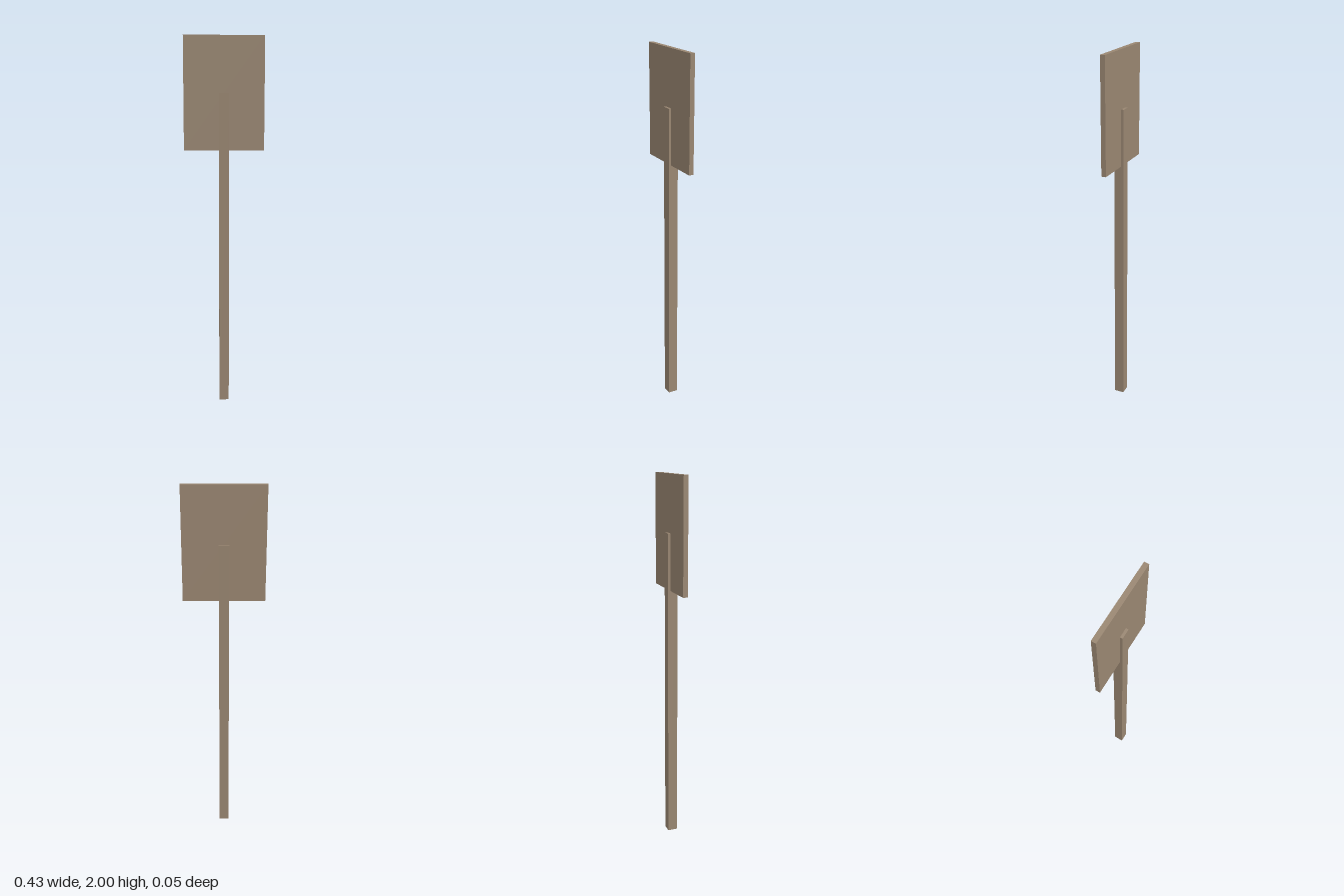
import * as THREE from 'three';

export function createModel() {
  const model = new THREE.Group();
  model.name = 'signpost';

  const wood = new THREE.MeshStandardMaterial({ color: 0x9a8772 });
  wood.name = 'weatheredWood';

  // Upright box standing between two heights, centred on the axis
  function board(name, width, depth, bottom, top) {
    const mesh = new THREE.Mesh(new THREE.BoxGeometry(width, top - bottom, depth), wood);
    mesh.name = name;
    mesh.position.y = (bottom + top) / 2;
    model.add(mesh);
  }

  // Square post, running up through the middle of the panel
  board('post', 0.053, 0.053, 0, 1.703);

  // Thin rectangular sign panel
  board('signPanel', 0.426, 0.025, 1.404, 2);

  return model;
}
